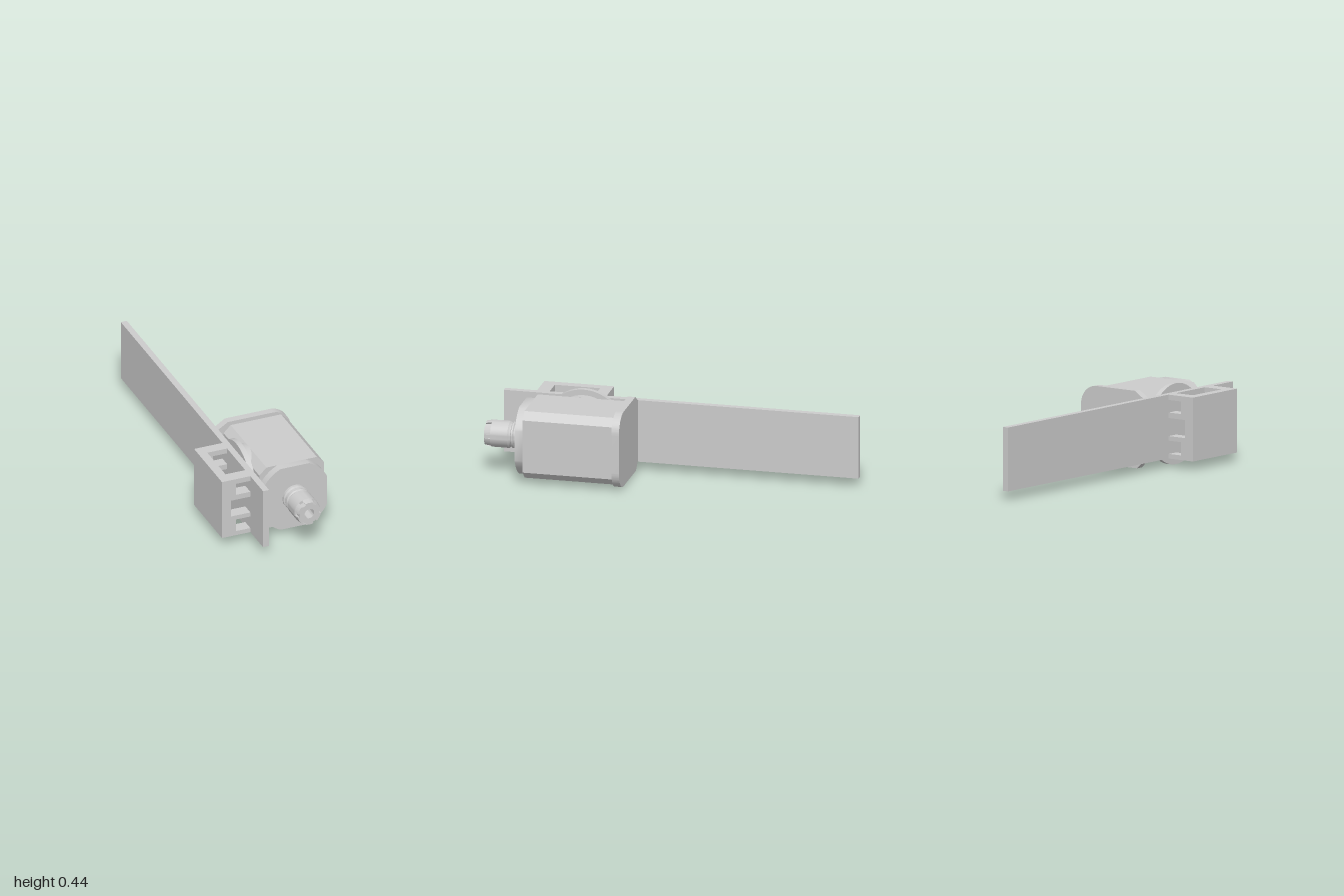
import * as THREE from 'three';
import { toCreasedNormals } from 'three/addons/utils/BufferGeometryUtils.js';

const CX = 0.108, CY = 0.222; // spindle axis
const material = new THREE.MeshStandardMaterial({ color: 0xcccccc });

export function createModel() {
  const model = new THREE.Group();

  const add = (name, geometry) => {
    const mesh = new THREE.Mesh(geometry, material);
    mesh.name = name;
    model.add(mesh);
    return mesh;
  };
  const box = (name, x0, x1, y0, y1, z0, z1) =>
    add(name, new THREE.BoxGeometry(x1 - x0, y1 - y0, z1 - z0))
      .position.set((x0 + x1) / 2, (y0 + y1) / 2, (z0 + z1) / 2);
  const polygon = (pts) => new THREE.Shape(pts.map(([x, y]) => new THREE.Vector2(x, y)));
  const extrude = (shape, z0, z1) =>
    new THREE.ExtrudeGeometry(shape, { depth: z1 - z0, bevelEnabled: false, curveSegments: 20 }).translate(0, 0, z0);
  const smooth = (geometry) => toCreasedNormals(geometry, 0.5);

  // Long mounting plate
  box('mountingPlate', -0.145, -0.11, 0.05, 0.397, -1, 0.96);

  // Bracket behind the plate: outer wall and two comb-shaped side walls
  box('bracketOuterWall', -0.31, -0.26, 0.05, 0.397, 0.465, 0.715);
  const comb = [[-0.31, 0.397], [-0.31, 0.05], [-0.145, 0.05]];
  for (const [y0, y1, x] of [[0.075, 0.147, -0.228], [0.172, 0.27, -0.257], [0.3, 0.368, -0.228]]) {
    comb.push([-0.145, y0], [x, y0], [x, y1], [-0.145, y1]);
  }
  comb.push([-0.145, 0.397]);
  add('bracketRearWall', extrude(polygon(comb), 0.4, 0.465));
  add('bracketFrontWall', extrude(polygon(comb), 0.715, 0.785));

  // Pivot disc and the boss that joins it to the housing
  const disc = (name, r, x0, x1) => {
    const geometry = new THREE.CylinderGeometry(r, r, x1 - x0, 72).rotateZ(Math.PI / 2);
    add(name, geometry).position.set((x0 + x1) / 2, CY, 0.51);
  };
  disc('pivotDisc', 0.22, -0.11, -0.082);
  disc('pivotBoss', 0.189, -0.083, -0.036);

  // Motor housing: chamfered square
  const h = 0.188, c = 0.147;
  const octagon = [[h, -c], [h, c], [c, h], [-c, h], [-h, c], [-h, -c], [-c, -h], [c, -h]]
    .map(([x, y]) => [CX + x, CY + y]);
  add('housing', extrude(polygon(octagon), 0.25, 0.755));

  // Front cap: square cut by a circle at its corners
  const R = 0.2055, a0 = Math.acos(h / R), cap = [];
  for (let q = 0; q < 4; q++) {
    for (let i = 0; i <= 10; i++) {
      const a = q * Math.PI / 2 + a0 + (Math.PI / 2 - 2 * a0) * i / 10;
      cap.push([CX + R * Math.cos(a), CY + R * Math.sin(a)]);
    }
  }
  add('frontCap', smooth(extrude(polygon(cap), 0.755, 0.8)));

  // Rear flange, rounded on the free side and tapered towards the plate
  const flange = new THREE.Shape();
  flange.moveTo(-0.11, 0.05);
  flange.lineTo(-0.07, 0.012);
  flange.lineTo(0.205, 0.012);
  flange.absarc(0.205, 0.117, 0.105, -Math.PI / 2, 0, false);
  flange.absarc(0.205, 0.327, 0.105, 0, Math.PI / 2, false);
  flange.lineTo(-0.055, 0.432);
  flange.lineTo(-0.11, 0.397);
  add('rearFlange', smooth(extrude(flange, 0.22, 0.262)));

  // Spindle neck and nut body, with a cone-bottomed bore
  const profile = [[0, 0.795], [0.072, 0.795], [0.072, 0.815], [0.064, 0.82], [0.064, 0.838], [0.071, 0.843],
    [0.071, 0.851], [0.064, 0.856], [0.066, 0.862], [0.073, 0.87], [0.073, 0.965], [0.028, 0.965],
    [0.028, 0.93], [0, 0.915]].map(([r, z]) => new THREE.Vector2(r, z));
  const lathe = new THREE.LatheGeometry(profile, 48).rotateX(Math.PI / 2);
  add('spindle', smooth(lathe)).position.set(CX, CY, 0);

  // Nut crown with six wrench slots
  const rOut = 0.073, rIn = 0.058, w = 0.011, crown = [];
  const half = Math.asin(w / rOut);
  for (let k = 0; k < 6; k++) {
    const a = k * Math.PI / 3, cos = Math.cos(a), sin = Math.sin(a);
    for (const s of [-w, w]) crown.push([rIn * cos - s * sin, rIn * sin + s * cos]);
    for (let i = 0; i <= 8; i++) {
      const b = a + half + (Math.PI / 3 - 2 * half) * i / 8;
      crown.push([rOut * Math.cos(b), rOut * Math.sin(b)]);
    }
  }
  const crownShape = polygon(crown);
  crownShape.holes.push(new THREE.Path().absarc(0, 0, 0.028, 0, Math.PI * 2, true));
  const crownGeometry = extrude(crownShape, 0.965, 1);
  // Taper the front rim slightly
  const p = crownGeometry.attributes.position;
  for (let i = 0; i < p.count; i++) {
    const r = Math.hypot(p.getX(i), p.getY(i));
    if (p.getZ(i) > 0.99 && r > 0.067) p.setXY(i, p.getX(i) * 0.067 / r, p.getY(i) * 0.067 / r);
  }
  add('nutCrown', smooth(crownGeometry)).position.set(CX, CY, 0);

  return model;
}
